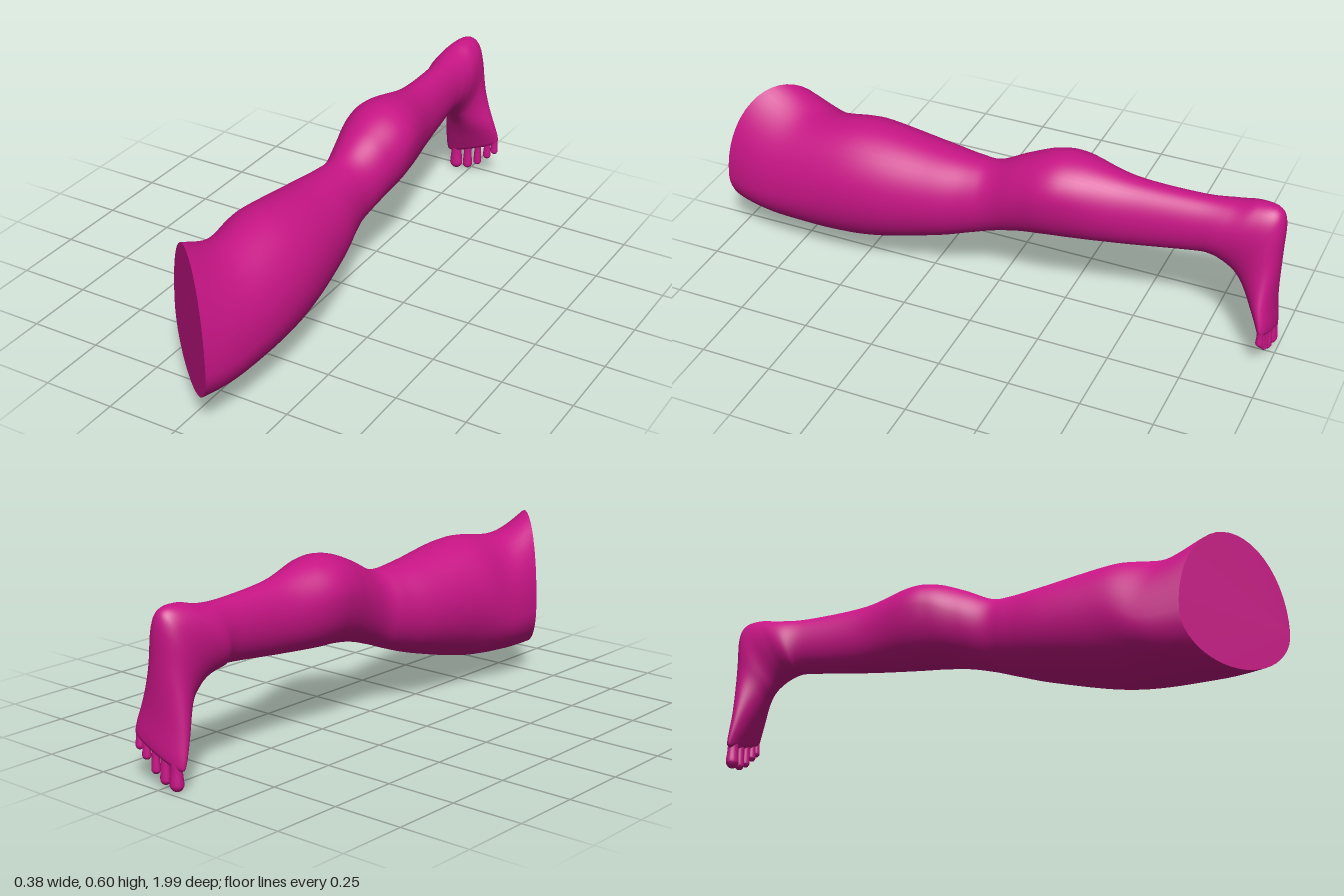
import * as THREE from 'three';

const SIDES = 48, STEPS = 8;
const { smoothstep, lerp } = THREE.MathUtils;

// Upright sections from cut thigh to ankle: z, back y, front y, xMin, xMax
const LEG = [
  [0.857, 0.573, 0.08, -0.19, 0.125],
  [0.70, 0.513, 0.08, -0.19, 0.165],
  [0.48, 0.535, 0.095, -0.18, 0.19],
  [0.22, 0.505, 0.16, -0.145, 0.155],
  [0.08, 0.495, 0.207, -0.107, 0.122],
  [0, 0.505, 0.238, -0.085, 0.113],
  [-0.10, 0.557, 0.27, -0.095, 0.133],
  [-0.20, 0.595, 0.287, -0.113, 0.15],
  [-0.30, 0.599, 0.295, -0.115, 0.14],
  [-0.48, 0.562, 0.313, -0.08, 0.095],
  [-0.70, 0.55, 0.341, -0.077, 0.066],
];

// Sections fanning round the front of the ankle, over the heel and down the
// foot: z and y of the heel or sole, z and y of the instep, xMin, xMax
const FOOT = [
  [-0.82, 0.557, -0.75, 0.34, -0.095, 0.066],
  [-0.90, 0.575, -0.79, 0.328, -0.088, 0.068],
  [-0.965, 0.568, -0.82, 0.31, -0.08, 0.066],
  [-0.99, 0.52, -0.845, 0.288, -0.078, 0.066],
  [-0.99, 0.40, -0.873, 0.255, -0.076, 0.077],
  [-0.988, 0.24, -0.91, 0.19, -0.087, 0.107],
  [-0.995, 0.14, -0.937, 0.135, -0.09, 0.122],
  [-0.99, 0.112, -0.95, 0.11, -0.08, 0.118],
  [-0.972, 0.1, -0.97, 0.1, -0.04, 0.08],
];

const SECTIONS = [...LEG.map(([z, back, front, x0, x1]) => [z, back, z, front, x0, x1]), ...FOOT];

// Smooth blend of the sections at position t (in section counts)
function sectionAt(t) {
  const last = SECTIONS.length - 1;
  const i = Math.min(Math.floor(t), last - 1), f = t - i;
  const at = k => SECTIONS[Math.max(0, Math.min(last, k))];
  const [a, b, c, d] = [at(i - 1), at(i), at(i + 1), at(i + 2)];
  return b.map((p, k) => p + 0.5 * f * (c[k] - a[k]
    + f * (2 * a[k] - 5 * p + 4 * c[k] - d[k]
    + f * (3 * (p - c[k]) + d[k] - a[k]))));
}

// One egg-shaped ring of points
function ring(t) {
  const [zT, yT, zB, yB, x0, x1] = sectionAt(t);
  const slantZ = 0.905 * smoothstep(zT, 0.36, 0.85); // towards the oblique cut
  const slantY = 0.4 * (1 - smoothstep(yT, 0.12, 0.45)); // along the row of toes
  // The thigh is widest low down, the calf high up
  const widest = lerp(0.5, 0.345, smoothstep(zT, 0.4, 0.85))
    + 0.1 * Math.exp(-(((zT + 0.25) / 0.15) ** 2));
  const points = [];
  for (let j = 0; j < SIDES; j++) {
    const a = (j / SIDES) * Math.PI * 2, s = Math.sin(a);
    const dx = Math.cos(a) * (x1 - x0) / 2;
    const u = widest + s * (s > 0 ? 1 - widest : widest);
    points.push((x0 + x1) / 2 + dx, lerp(yB, yT, u) + slantY * dx, lerp(zB, zT, u) + slantZ * dx);
  }
  return points;
}

function buildGeometry(positions, index) {
  const g = new THREE.BufferGeometry();
  g.setAttribute('position', new THREE.Float32BufferAttribute(positions, 3));
  g.setIndex(index);
  g.computeVertexNormals();
  return g;
}

function legGeometry() {
  const positions = [], index = [];
  const rows = (SECTIONS.length - 1) * STEPS;
  for (let i = 0; i <= rows; i++) {
    positions.push(...ring(i / STEPS));
    if (i === rows) break;
    for (let j = 0; j < SIDES; j++) {
      const a = i * SIDES + j, b = i * SIDES + (j + 1) % SIDES;
      index.push(a, a + SIDES, b, b, a + SIDES, b + SIDES);
    }
  }
  return buildGeometry(positions, index);
}

// Flat slanted face where the thigh is cut
function cutGeometry() {
  const index = [];
  for (let j = 1; j < SIDES - 1; j++) index.push(0, j, j + 1);
  return buildGeometry(ring(0), index);
}

// Toe with a slim neck and a round tip, hanging from y = 0 down to -length
function toeGeometry(r, length) {
  const curve = new THREE.SplineCurve([
    new THREE.Vector2(0, -length),
    new THREE.Vector2(0.55 * r, 0.17 * r - length),
    new THREE.Vector2(0.9 * r, 0.6 * r - length),
    new THREE.Vector2(r, 1.1 * r - length),
    new THREE.Vector2(0.86 * r, -0.4 * length),
    new THREE.Vector2(0.85 * r, 0),
  ]);
  const points = curve.getPoints(24).map(p => new THREE.Vector2(Math.max(0, p.x), p.y));
  return new THREE.LatheGeometry(points, 20);
}

export function createModel() {
  const model = new THREE.Group();
  model.name = 'leg';
  const skin = new THREE.MeshStandardMaterial({ color: 0xc71585 });
  const add = (name, geometry) => {
    const mesh = new THREE.Mesh(geometry, skin);
    mesh.name = name;
    model.add(mesh);
    return mesh;
  };

  add('legAndFoot', legGeometry());
  add('thighCut', cutGeometry());

  // Toes from big to little: x, tip height, root height, radius
  const toes = [
    [-0.052, 0, 0.11, 0.024],
    [-0.003, 0.011, 0.12, 0.018],
    [0.039, 0.036, 0.13, 0.015],
    [0.079, 0.073, 0.15, 0.015],
    [0.109, 0.1, 0.165, 0.014],
  ];
  toes.forEach(([x, tip, root, r], i) => {
    const toe = add(i === 0 ? 'bigToe' : `toe${i + 1}`, toeGeometry(r, root - tip));
    toe.position.set(x, root, -0.97);
    toe.scale.z = 0.9;
  });
  return model;
}
